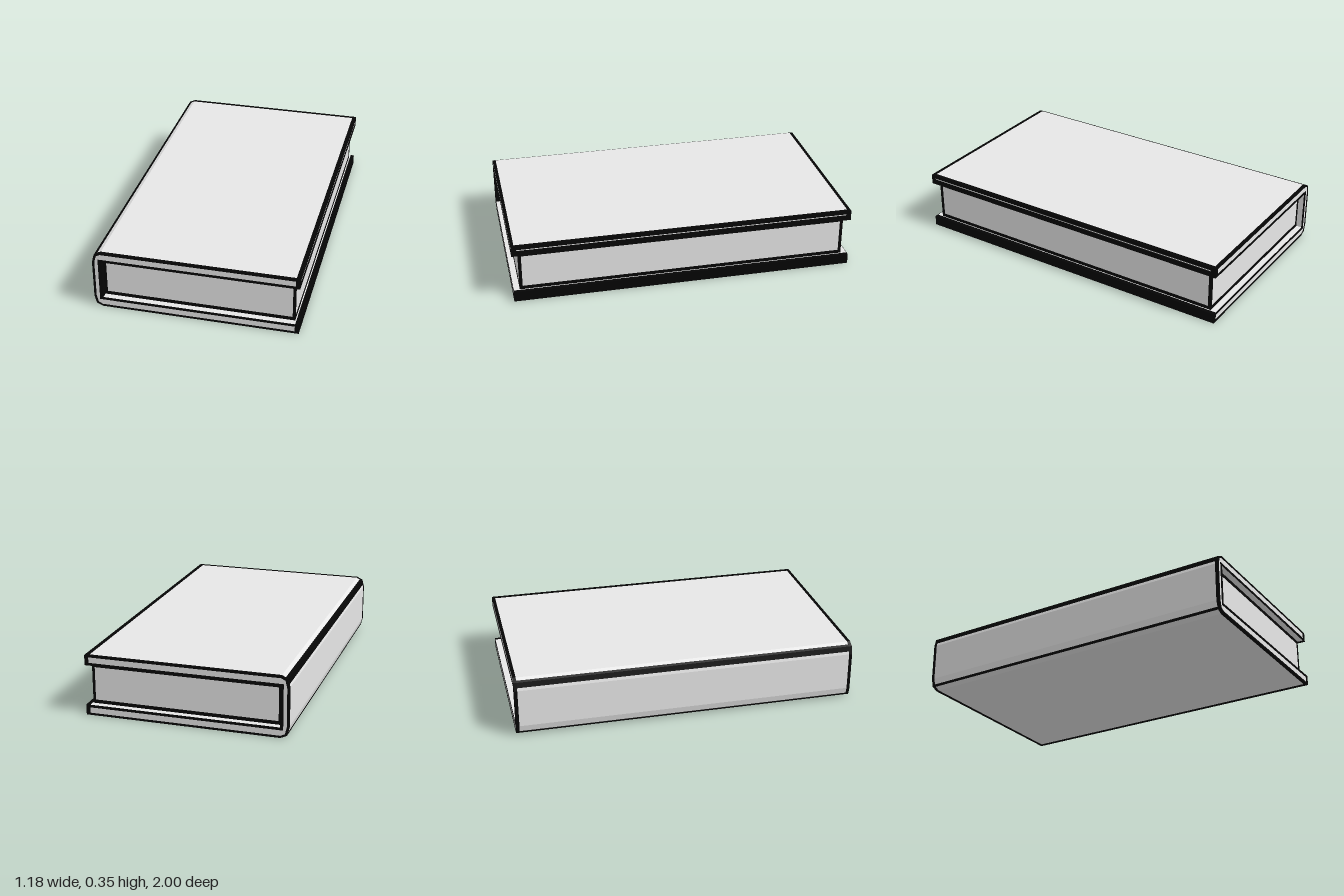
import * as THREE from 'three';

const MID = 0.1775; // half the height of the book
const flip = ([x, y]) => [x, 2 * MID - y];
const toVectors = (points) => points.map(([x, y]) => new THREE.Vector2(x, y));

// Continue an upper half profile around the spine to its mirrored lower half
const around = (upper) => [...upper, ...upper.map(flip).reverse()];

// Closed outline running along one profile and back along another
const between = (a, b) => [...a, ...b.slice().reverse()];

// Extrude an x/y outline (with an optional hole) from z0 to z1
function prism(points, z0, z1, hole) {
  const shape = new THREE.Shape(toVectors(points));
  if (hole) shape.holes.push(new THREE.Path(toVectors(hole)));
  const g = new THREE.ExtrudeGeometry(shape, { depth: z1 - z0, bevelEnabled: false });
  return g.translate(0, 0, z0);
}

// Box given by its lower and upper corners
function block(x0, x1, y0, y1, z0, z1) {
  const g = new THREE.BoxGeometry(x1 - x0, y1 - y0, z1 - z0);
  return g.translate((x0 + x1) / 2, (y0 + y1) / 2, (z0 + z1) / 2);
}

const rect = (x0, x1, y0, y1) => [[x0, y0], [x1, y0], [x1, y1], [x0, y1]];

export function createModel() {
  const paper = new THREE.MeshStandardMaterial({ color: 0xe7e7e7 });
  paper.name = 'pale grey';
  const ink = new THREE.MeshStandardMaterial({ color: 0x050505 });
  ink.name = 'ink black';

  const book = new THREE.Group();
  book.name = 'book';
  const add = (name, geometry, material) => {
    const mesh = new THREE.Mesh(geometry, material);
    mesh.name = name;
    book.add(mesh);
  };

  // U-shaped cover with a bevelled spine
  const coverOuter = around([[0.566, 0.353], [-0.5395, 0.353], [-0.5745, 0.3365], [-0.586, 0.29]]);
  const coverInner = around([[0.566, 0.295], [-0.537, 0.295]]);
  add('cover', prism(between(coverOuter, coverInner), -0.998, 0.998), paper);

  // Page block
  add('pages', block(-0.54, 0.558, 0.06, 0.295, -0.961, 0.961), paper);

  // Ink lines around the ends of the cover and the page block
  const lineOuter = around([[0.588, 0.355], [-0.54, 0.355], [-0.576, 0.338], [-0.588, 0.29]]);
  const lineOuterInset = around([[0.588, 0.343], [-0.54, 0.343], [-0.565, 0.331], [-0.575, 0.288]]);
  const lineInnerInset = around([[0.566, 0.31], [-0.555, 0.31]]);
  const pageFace = rect(-0.537, 0.56, 0.06, 0.295);
  const pageFaceInset = rect(-0.52, 0.545, 0.08, 0.275);
  for (const [side, s] of [['front', 1], ['back', -1]]) {
    const span = (a, b) => (s > 0 ? [a, b] : [-b, -a]);
    add(side + 'CoverOutline', prism(between(lineOuter, lineOuterInset), ...span(0.982, 1)), ink);
    add(side + 'CoverInnerLine', prism(between(lineInnerInset, coverInner), ...span(0.996, 1)), ink);
    add(side + 'PageOutline', prism(pageFace, ...span(0.96, 0.963), pageFaceInset), ink);
  }

  // Ink line around the fore edge of the pages
  const foreEdge = prism(rect(-0.963, 0.963, 0.06, 0.295), 0, 0.003, rect(-0.945, 0.945, 0.08, 0.275));
  add('foreEdgeOutline', foreEdge.rotateY(Math.PI / 2).translate(0.557, 0, 0), ink);

  // Inked fore edges of both boards, with a pale line along the upper one
  add('upperBoardEdge', block(0.565, 0.588, 0.295, 0.355, -1, 1), ink);
  add('lowerBoardEdge', block(0.565, 0.588, 0, 0.06, -1, 1), ink);
  add('upperBoardLine', block(0.585, 0.5885, 0.33, 0.335, -0.97, 0.97), paper);

  // Ink lines along the spine bevels, wide above and narrow below
  const upperBevel = between(
    [[-0.562, 0.3446], [-0.576, 0.338], [-0.5835, 0.308]],
    [[-0.555, 0.335], [-0.565, 0.331], [-0.57, 0.305]]);
  const lowerBevel = between(
    [[-0.57, 0.0142], [-0.576, 0.017], [-0.5785, 0.027]],
    [[-0.563, 0.022], [-0.565, 0.024], [-0.57, 0.03]]);
  add('upperSpineLine', prism(upperBevel, -0.999, 0.999), ink);
  add('lowerSpineLine', prism(lowerBevel, -0.999, 0.999), ink);

  // Inked strip inside the spine at the front
  add('spineLining', block(-0.54, -0.535, 0.06, 0.295, 0.961, 0.999), ink);

  return book;
}
